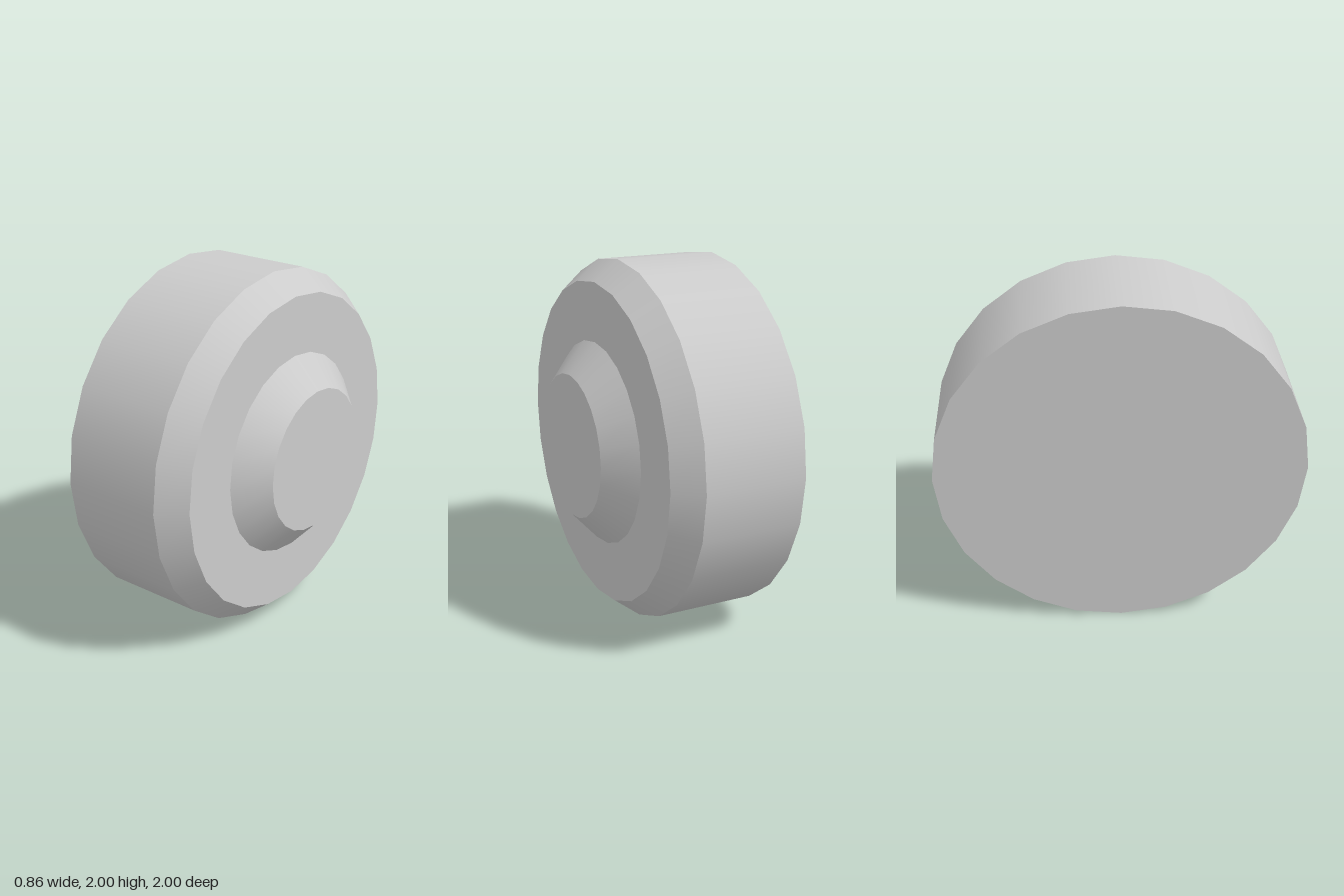
import * as THREE from 'three';
import { mergeGeometries } from 'three/addons/utils/BufferGeometryUtils.js';

const SIDES = 24;

// Turns a profile of [radius, x] points about the x axis, keeping each profile corner sharp
function turned(name, profile, material) {
  const bands = [];
  for (let i = 0; i < profile.length - 1; i++) {
    const pair = [profile[i], profile[i + 1]].map(([r, x]) => new THREE.Vector2(r, x));
    bands.push(new THREE.LatheGeometry(pair, SIDES));
  }
  const geometry = mergeGeometries(bands);
  geometry.rotateZ(-Math.PI / 2);
  const mesh = new THREE.Mesh(geometry, material);
  mesh.name = name;
  mesh.position.y = 1;
  return mesh;
}

export function createModel() {
  const group = new THREE.Group();
  group.name = 'wheel';
  const grey = new THREE.MeshStandardMaterial({ color: 0xcccccc });

  // Flat-backed disc with a chamfered outer edge and a ring-shaped face around the hub
  group.add(turned('wheelBody', [
    [0, -0.43], [1, -0.43], [1, 0.14], [0.89, 0.28], [0.565, 0.28],
  ], grey));

  // Tapered hub cap on the outer face
  group.add(turned('hubCap', [[0.565, 0.28], [0.4, 0.43], [0, 0.43]], grey));

  return group;
}
